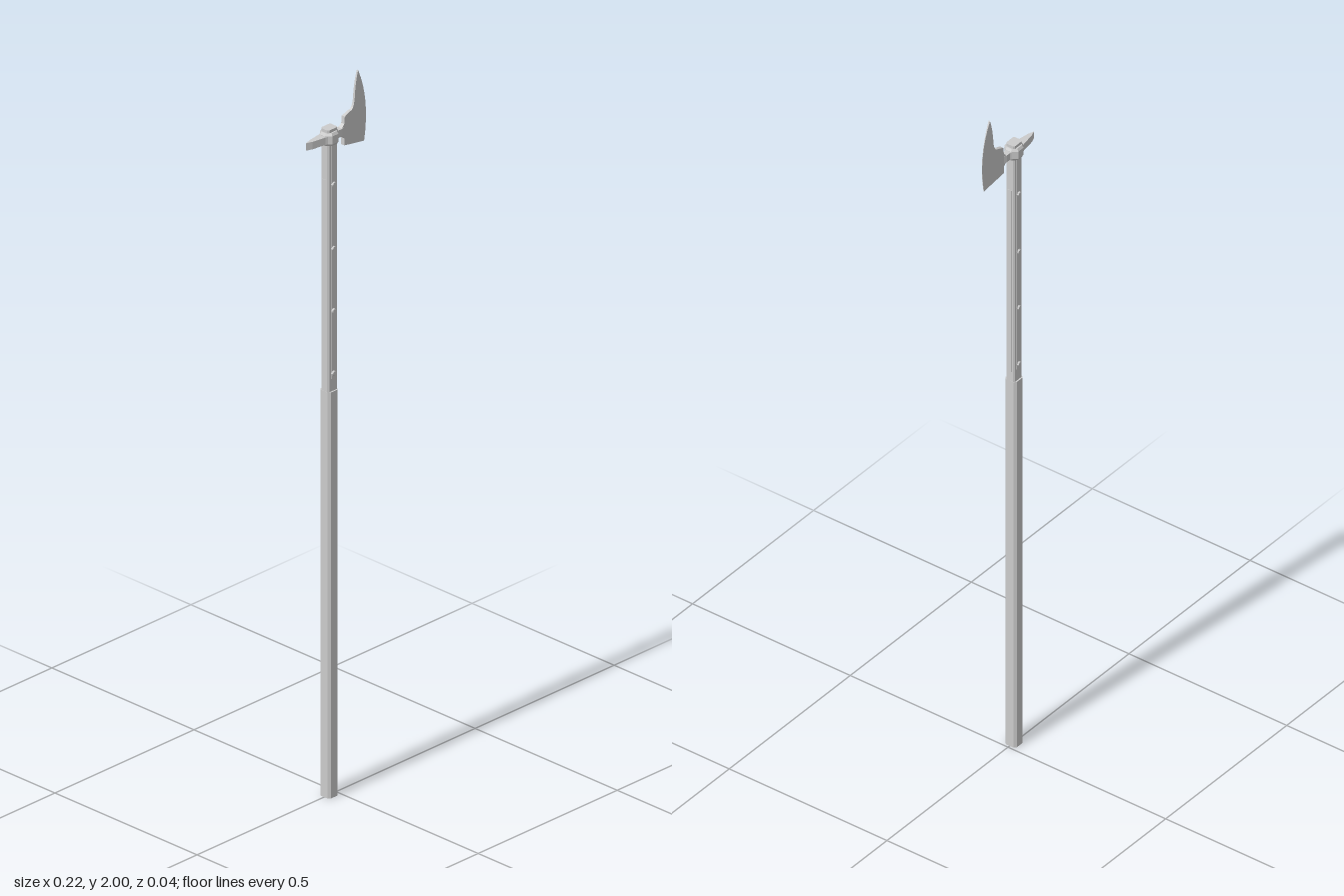
import * as THREE from 'three';

const material = new THREE.MeshStandardMaterial({ color: 0xcccccc, flatShading: true });
const AXIS = -0.025; // x of the shaft's centre line

const outline = (points) => new THREE.Shape(points.map(([x, y]) => new THREE.Vector2(x, y)));

// Rectangle with cut corners, centred on the shaft
function cutRect(hx, hz, c) {
  return [
    [hx, -hz + c], [hx, hz - c], [hx - c, hz], [-hx + c, hz],
    [-hx, hz - c], [-hx, -hz + c], [-hx + c, -hz], [hx - c, -hz],
  ].map(([x, z]) => [x + AXIS, z]);
}

// Upright prism over a plan outline in x and z
function prism(points, y0, y1) {
  const geo = new THREE.ExtrudeGeometry(outline(points), { depth: y1 - y0, bevelEnabled: false });
  return geo.rotateX(-Math.PI / 2).translate(0, y0, 0);
}

export function createModel() {
  const group = new THREE.Group();
  const add = (name, geometry) => {
    const mesh = new THREE.Mesh(geometry, material);
    mesh.name = name;
    group.add(mesh);
    return mesh;
  };

  // Shaft: thick grip below, thinner front to back above
  add('lowerShaft', prism(cutRect(0.018, 0.018, 0.006), 0, 1.14));
  add('upperShaft', prism(cutRect(0.0175, 0.014, 0.004), 1.14, 1.875));

  // Metal strips and rivets down the upper shaft
  for (const side of [-1, 1]) {
    const strip = add('faceStrip', new THREE.BoxGeometry(0.014, 0.66, 0.002));
    strip.position.set(AXIS, 1.505, side * 0.0142);
    const edge = add('edgeStrip', new THREE.BoxGeometry(0.002, 0.565, 0.014));
    edge.position.set(AXIS + side * 0.0177, 1.4525, 0);
    for (const y of [1.19, 1.365, 1.54, 1.72]) {
      const rivet = add('rivet', new THREE.CylinderGeometry(0.005, 0.008, 0.005, 8));
      rivet.rotation.x = side * Math.PI / 2;
      rivet.position.set(AXIS, y, side * 0.0165);
    }
  }

  // Socket around the shaft, waisted towards its top and bottom
  const socketPlan = cutRect(0.024, 0.022, 0.013);
  const socket = new THREE.ExtrudeGeometry(outline(socketPlan), {
    depth: 0.022, bevelThickness: 0.007, bevelSize: 0.004, bevelOffset: -0.004, bevelSegments: 1,
  });
  add('socket', socket.rotateX(-Math.PI / 2).translate(0, 1.838, 0));

  // Back spike, tapering in plan to an upright edge
  add('spike', prism([
    [-0.108, 0], [-0.09, -0.006], [-0.05, -0.012], [-0.035, -0.018],
    [-0.035, 0.018], [-0.05, 0.012], [-0.09, 0.006],
  ], 1.838, 1.859));

  // Neck joining socket and blade
  add('neck', prism([
    [-0.01, -0.015], [0.001, -0.008], [0.015, -0.008], [0.026, -0.005],
    [0.026, 0.005], [0.015, 0.008], [0.001, 0.008], [-0.01, 0.015],
  ], 1.838, 1.859));

  // Axe blade: flat outline thinned towards the cutting edge
  const shape = new THREE.Shape();
  shape.moveTo(0.015, 1.838);
  shape.lineTo(0.024, 1.828);
  shape.lineTo(0.024, 1.808);
  shape.lineTo(0.1, 1.793);
  shape.quadraticCurveTo(0.122, 1.905, 0.077, 2);
  shape.quadraticCurveTo(0.066, 1.965, 0.064, 1.925);
  shape.quadraticCurveTo(0.06, 1.895, 0.047, 1.896);
  shape.lineTo(0.026, 1.888);
  shape.lineTo(0.024, 1.868);
  shape.lineTo(0.015, 1.859);
  shape.closePath();
  const blade = new THREE.ExtrudeGeometry(shape, { depth: 2, bevelEnabled: false, curveSegments: 8 });
  blade.translate(0, 0, -1);
  const pos = blade.attributes.position;
  for (let i = 0; i < pos.count; i++) {
    const thickness = THREE.MathUtils.mapLinear(pos.getX(i), 0.015, 0.108, 0.006, 0.0004);
    pos.setZ(i, pos.getZ(i) * thickness);
  }
  blade.computeVertexNormals();
  add('blade', blade);

  return group;
}
